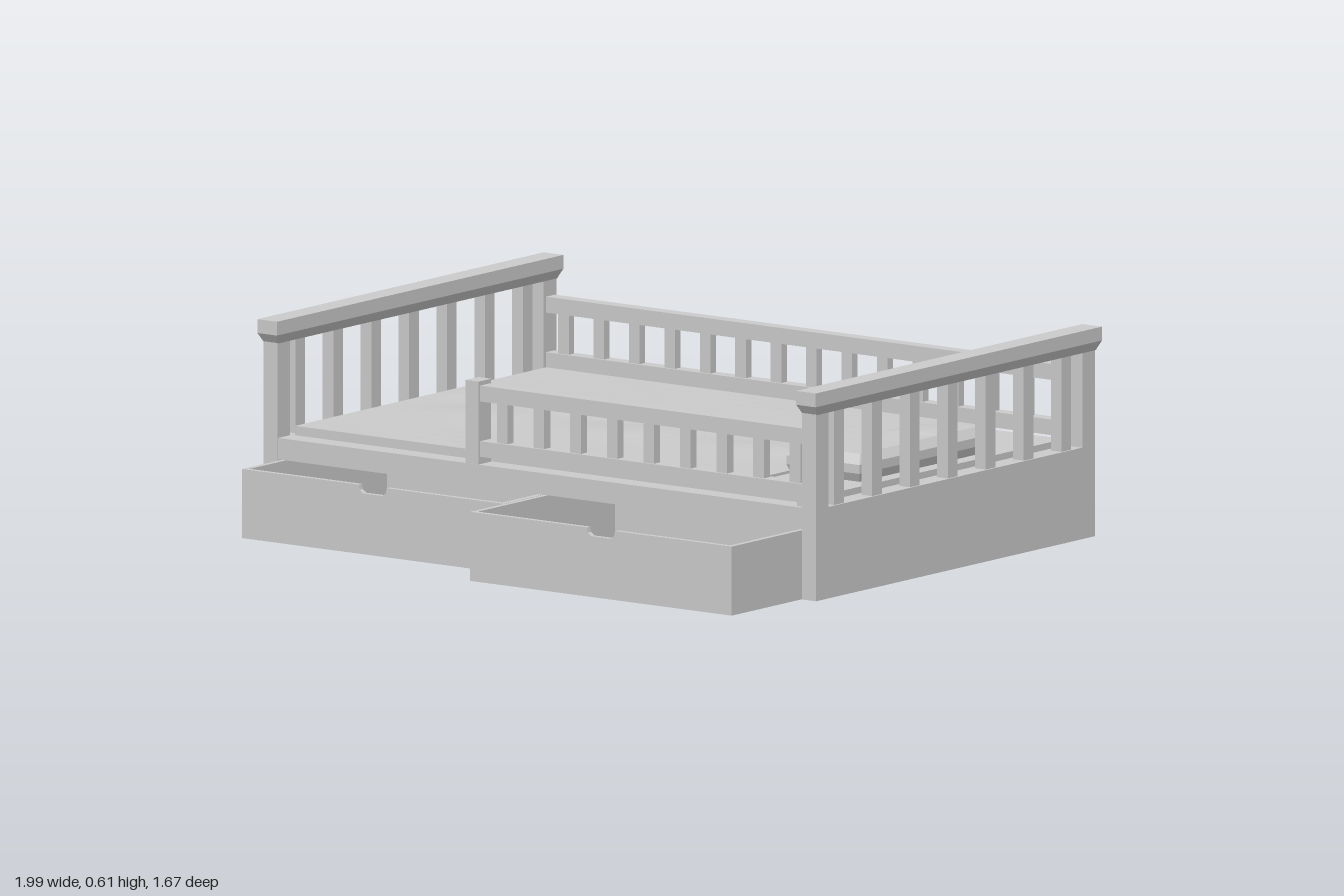
import * as THREE from 'three';

const grey = new THREE.MeshStandardMaterial({ color: 0xcccccc, flatShading: true });

function add(parent, name, geometry) {
  const mesh = new THREE.Mesh(geometry, grey);
  mesh.name = name;
  parent.add(mesh);
  return mesh;
}

// Box given by its low and high limits on each axis
function box(parent, name, x0, x1, y0, y1, z0, z1) {
  const mesh = add(parent, name, new THREE.BoxGeometry(x1 - x0, y1 - y0, z1 - z0));
  mesh.position.set((x0 + x1) / 2, (y0 + y1) / 2, (z0 + z1) / 2);
  return mesh;
}

function reshape(geometry, rule) {
  const p = geometry.attributes.position;
  const v = new THREE.Vector3();
  for (let i = 0; i < p.count; i++) {
    rule(v.fromBufferAttribute(p, i));
    p.setXYZ(i, v.x, v.y, v.z);
  }
  geometry.computeVertexNormals();
  return geometry;
}

// Slatted end: panel, posts, slats and a top cap that tapers below
function makeEnd(name, side) {
  const end = new THREE.Group();
  end.name = name;
  box(end, 'endPanel', -0.025, 0.025, 0, 0.265, -0.82, 0.5);
  box(end, 'endPost', -0.025, 0.025, 0.265, 0.54, 0.44, 0.5);
  box(end, 'endPost', -0.025, 0.025, 0.265, 0.54, -0.82, -0.76);
  for (let i = 0; i < 7; i++) {
    const z = 0.383 - i * 0.1792;
    box(end, 'endSlat', -0.019, 0.019, 0.265, 0.54, z - 0.023, z + 0.023);
  }
  box(end, 'endCap', -0.035, 0.035, 0.565, 0.605, -0.84, 0.515);
  const taper = add(end, 'endCapTaper', reshape(new THREE.BoxGeometry(0.07, 0.027, 1.355), (v) => {
    if (v.y < 0) {
      v.x *= 0.72;
      v.z -= Math.sign(v.z) * 0.017;
    }
  }));
  taper.position.set(0, 0.552, -0.1625);
  end.position.x = side * 0.96;
  if (side > 0) end.position.x += 0.002;
  else end.position.x -= 0.002;
  return end;
}

// Low rail with evenly spaced slats
function makeRail(name, x0, x1, z0, z1, firstSlat, step, count) {
  const rail = new THREE.Group();
  rail.name = name;
  box(rail, 'bottomRail', x0, x1, 0.287, 0.332, z0, z1);
  box(rail, 'topRail', x0, x1, 0.447, 0.493, z0, z1);
  for (let i = 0; i < count; i++) {
    const x = firstSlat + i * step;
    box(rail, 'railSlat', x - 0.019, x + 0.019, 0.332, 0.447, z0 + 0.008, z1 - 0.008);
  }
  return rail;
}

// Open drawer with a finger notch in its front
function makeDrawer(name, x, frontZ) {
  const drawer = new THREE.Group();
  drawer.name = name;
  const w = 0.467, t = 0.016, h = 0.2, depth = 0.68;
  box(drawer, 'drawerFloor', -w, w, 0, 0.018, -depth, -t);
  box(drawer, 'drawerBack', -w + t, w - t, 0.018, h, -depth, -depth + t);
  for (const s of [-1, 1]) {
    const c = s * (w - t / 2);
    box(drawer, 'drawerSide', c - t / 2, c + t / 2, 0.018, h, -depth, -t);
  }
  const front = new THREE.Shape([
    [-w, 0], [w, 0], [w, h], [0.05, h], [0.047, 0.185], [0.035, 0.176],
    [-0.035, 0.176], [-0.047, 0.185], [-0.05, h], [-w, h],
  ].map(([a, b]) => new THREE.Vector2(a, b)));
  add(drawer, 'drawerFront', new THREE.ExtrudeGeometry(front, { depth: t, bevelEnabled: false }))
    .position.z = -t;
  drawer.position.set(x, 0, frontZ);
  return drawer;
}

export function createModel() {
  const bed = new THREE.Group();
  bed.name = 'bed';

  bed.add(makeEnd('headEnd', 1), makeEnd('footEnd', -1));

  // Base: closed rear, with an open bay for the drawers under the front
  box(bed, 'rearBase', -0.937, 0.937, 0, 0.265, -0.82, -0.18);
  box(bed, 'bedDeck', -0.937, 0.937, 0.203, 0.265, -0.18, 0.497);

  // Side rails and the post where the front rail stops
  bed.add(makeRail('backRail', -0.937, 0.937, -0.812, -0.77, -0.88, 0.1265, 15));
  bed.add(makeRail('frontRail', -0.22, 0.937, 0.445, 0.49, -0.147, 0.1307, 9));
  box(bed, 'frontRailPost', -0.268, -0.222, 0.265, 0.505, 0.435, 0.495);
  for (const x of [-0.92, 0.92]) {
    box(bed, 'backRailFoot', x - 0.015, x + 0.015, 0.265, 0.287, -0.805, -0.777);
  }
  box(bed, 'frontRailFoot', 0.905, 0.935, 0.265, 0.287, 0.452, 0.482);

  // Mattress and a slightly rumpled cover
  box(bed, 'mattress', -0.925, 0.925, 0.24, 0.284, -0.755, 0.432);
  const cover = add(bed, 'cover', reshape(new THREE.BoxGeometry(1.56, 0.012, 1.187, 26, 1, 20), (v) => {
    if (v.y < 0) return;
    const fade = Math.min(1, 6 * (0.78 - Math.abs(v.x)), 6 * (0.5935 - Math.abs(v.z)));
    v.y += 0.005 * fade * Math.sin(7 * v.x + 4 * v.z + 2 * Math.sin(6 * v.z))
      * Math.sin(5 * v.z - 6 * v.x + 1);
  }));
  cover.position.set(-0.145, 0.286, -0.1615);

  // Pillow: soft box, pulled in towards its top and bottom
  const pillow = add(bed, 'pillow', reshape(new THREE.BoxGeometry(0.26, 0.078, 0.64, 4, 3, 8), (v) => {
    const inset = v.y > 0.03 ? 0.03 : v.y < -0.03 ? 0.012 : 0;
    v.x *= 1 - inset / 0.2;
    v.z *= 1 - inset / 0.32;
    if (v.y > 0.03) {
      v.y += 0.014 * Math.exp(-((v.z + 0.1) ** 2) / 0.012) * Math.max(0, 1 - Math.abs(v.x - 0.03) / 0.09);
    }
  }));
  pillow.position.set(0.755, 0.322, -0.16);

  // Drawers, pulled out by different amounts
  bed.add(makeDrawer('leftDrawer', 0.468, 0.83), makeDrawer('rightDrawer', -0.468, 0.67));

  return bed;
}
